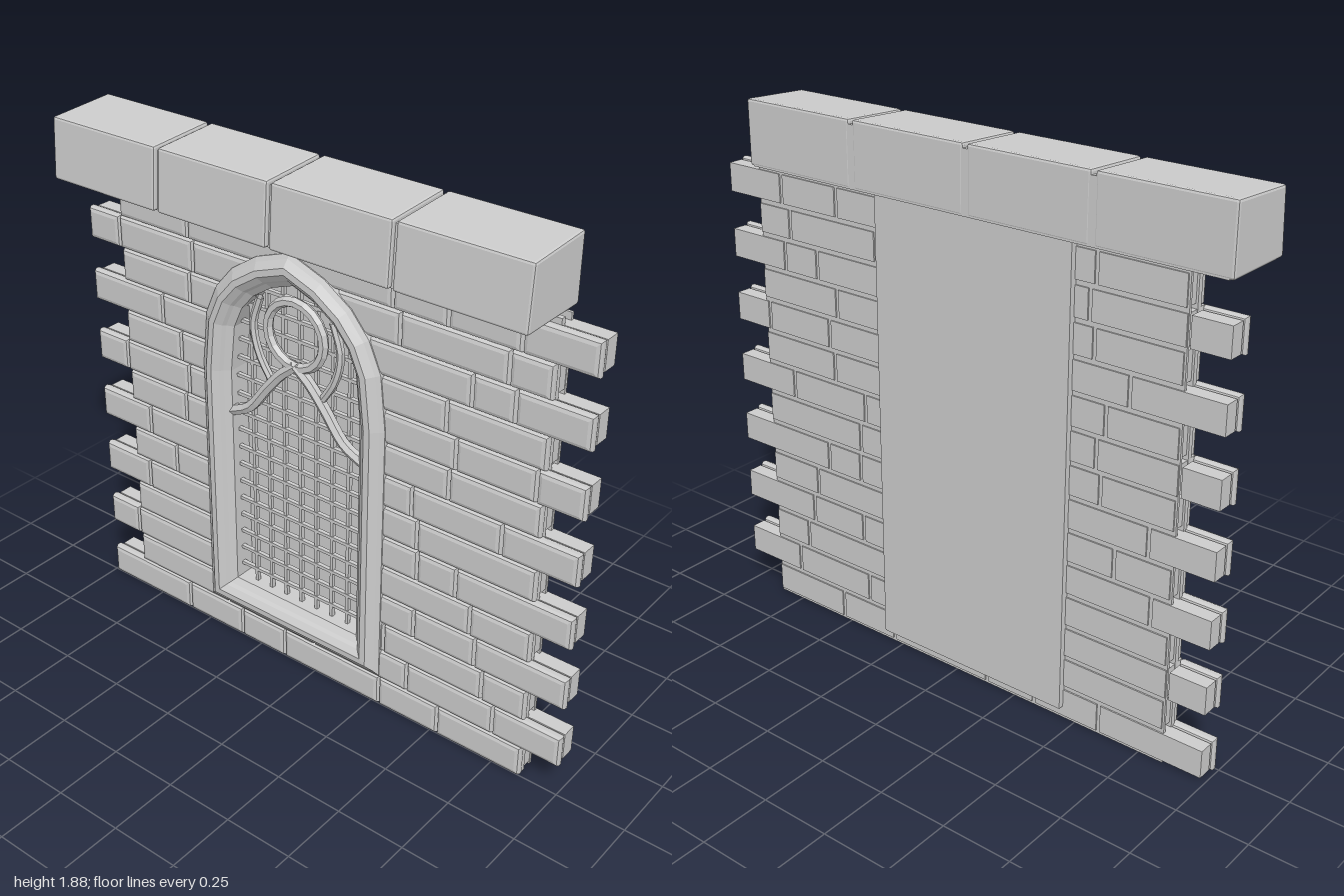
import * as THREE from 'three';
import { RoundedBoxGeometry } from 'three/addons/geometries/RoundedBoxGeometry.js';

const grey = new THREE.MeshStandardMaterial({ color: 0xcccccc, flatShading: true, side: THREE.DoubleSide });

// Local frame: X along the wall, Y up, +Z out of the window face.
const CENTRE = -0.09; // middle of the window along the wall
const HALF_ARCH = [[0.32, 0.2], [0.32, 1.1], [0.3, 1.28], [0.26, 1.37], [0.2, 1.44], [0.11, 1.5]];
const ARCH = [
  ...HALF_ARCH, [0, 1.54],
  ...HALF_ARCH.map(([u, y]) => [-u, y]).reverse(),
].map(([u, y]) => new THREE.Vector2(CENTRE + u, y));

function add(parent, name, geometry) {
  const mesh = new THREE.Mesh(geometry, grey);
  mesh.name = name;
  parent.add(mesh);
  return mesh;
}

function box(x0, x1, y0, y1, z0, z1) {
  return new THREE.BoxGeometry(x1 - x0, y1 - y0, z1 - z0)
    .translate((x0 + x1) / 2, (y0 + y1) / 2, (z0 + z1) / 2);
}

// Half width of the window opening at a height
function openingAt(y) {
  if (y < 0.23 || y > 1.54) return 0;
  const pts = [...HALF_ARCH, [0, 1.54]];
  for (let i = 1; i < pts.length; i++) {
    const [u0, y0] = pts[i - 1], [u1, y1] = pts[i];
    if (y <= y1) return u0 + (u1 - u0) * (y - y0) / (y1 - y0);
  }
  return 0;
}

// Sweep an (outward, z) profile round a closed outline with mitred corners
function sweep(path, profile) {
  const n = path.length, m = profile.length, pos = [], idx = [];
  for (let i = 0; i < n; i++) {
    const p = path[i];
    const a = p.clone().sub(path[(i + n - 1) % n]).normalize();
    const b = path[(i + 1) % n].clone().sub(p).normalize();
    const na = new THREE.Vector2(a.y, -a.x), nb = new THREE.Vector2(b.y, -b.x);
    const miter = na.clone().add(nb).divideScalar(1 + na.dot(nb));
    for (const [o, z] of profile) pos.push(p.x + miter.x * o, p.y + miter.y * o, z);
  }
  for (let i = 0; i < n; i++) {
    for (let j = 0; j < m - 1; j++) {
      const a = i * m + j, b = ((i + 1) % n) * m + j;
      idx.push(a, a + 1, b, b, a + 1, b + 1);
    }
  }
  const g = new THREE.BufferGeometry();
  g.setAttribute('position', new THREE.Float32BufferAttribute(pos, 3));
  g.setIndex(idx);
  g.computeVertexNormals();
  return g;
}

// Front brick: box with chamfered outer face
function frontBrick(x0, x1, y0, y1) {
  const inset = Math.min(0.016, (x1 - x0) / 3);
  const shape = new THREE.Shape();
  shape.moveTo(x0 + inset, y0 + inset);
  shape.lineTo(x1 - inset, y0 + inset);
  shape.lineTo(x1 - inset, y1 - inset);
  shape.lineTo(x0 + inset, y1 - inset);
  return new THREE.ExtrudeGeometry(shape, {
    depth: 0.012, bevelThickness: 0.014, bevelSize: inset, bevelSegments: 2,
  }).translate(0, 0, -0.015);
}

// Brick joints of each course, from the bottom up
const JOINTS = [
  [-0.99, -0.595, -0.335, -0.135, 0.285, 0.53, 0.86],
  [-0.84, -0.4, 0, 0.4, 0.745, 1],
  [-0.99, -0.845, -0.3, 0.3, 0.695, 0.86],
  [-0.84, -0.4, 0, 0.42, 0.66, 1],
  [-0.99, -0.77, -0.2, 0.2, 0.635, 0.86],
  [-0.84, -0.63, 0, 0.425, 0.575, 1],
  [-0.99, -0.75, 0, 0.42, 0.86],
  [-0.84, -0.57, 0, 0.395, 0.73, 1],
  [-0.99, -0.845, -0.55, 0, 0.53, 0.86],
  [-0.84, -0.58, 0, 0.55, 0.835, 1],
  [-0.99, -0.66, 0, 0.51, 0.86],
  [-0.84, -0.53, 0, 0.595, 0.745, 1],
  [-0.99, -0.845, -0.51, 0, 0.33, 0.715, 0.86],
  [-0.84, -0.53, -0.1, 0.3, 0.5, 0.75, 1],
];

function addBricks(parent) {
  JOINTS.forEach((joints, row) => {
    const y0 = 0.01 + row * 0.117, y1 = y0 + 0.108;
    const w = openingAt((y0 + y1) / 2);
    for (let i = 0; i < joints.length - 1; i++) {
      const a = joints[i], b = joints[i + 1];
      const pieces = w ? [[a, Math.min(b, CENTRE - w)], [Math.max(a, CENTRE + w), b]] : [[a, b]];
      for (const [p, q] of pieces) {
        if (q - p < 0.02) continue;
        add(parent, 'frontBrick', frontBrick(p + 0.002, q - 0.002, y0 - 0.003, y1 + 0.003));
        add(parent, 'backBrick', box(p + 0.007, q - 0.007, y0 + 0.004, y1 - 0.004, -0.085, -0.032));
      }
    }
  });
}

function addMortar(parent) {
  const shape = new THREE.Shape([[-0.84, 0.003], [0.855, 0.003], [0.855, 1.66], [-0.84, 1.66]]
    .map(([x, y]) => new THREE.Vector2(x, y)));
  shape.holes.push(new THREE.Path(ARCH));
  for (const [z, depth] of [[-0.036, 0.018], [-0.08, 0.01]]) {
    add(parent, 'mortar', new THREE.ExtrudeGeometry(shape, { depth, bevelEnabled: false }).translate(0, 0, z));
  }
}

function addWindow(parent) {
  // Moulded surround and deep inner reveal
  add(parent, 'windowFrame', sweep(ARCH, [
    [-0.05, -0.08], [-0.05, 0], [-0.03, 0.018], [-0.022, 0.03], [0, 0.047],
    [0.022, 0.046], [0.045, 0.025], [0.06, 0.015], [0.06, -0.03],
  ]));

  // Lattice bars clipped to the arch
  const lattice = new THREE.Group();
  lattice.name = 'lattice';
  parent.add(lattice);
  for (let i = -3; i <= 3; i++) {
    const u = i * 0.068;
    let top = 1.5;
    while (openingAt(top) - 0.04 < Math.abs(u)) top -= 0.01;
    add(lattice, 'verticalBar', box(CENTRE + u - 0.006, CENTRE + u + 0.006, 0.23, top, -0.045, -0.03));
  }
  for (let y = 0.3; y < 1.45; y += 0.07) {
    const w = openingAt(y) - 0.03;
    add(lattice, 'horizontalBar', box(CENTRE - w, CENTRE + w, y - 0.006, y + 0.006, -0.043, -0.028));
  }

  // Tracery: ring above a pointed ogee arch
  const ring = add(parent, 'traceryRing', new THREE.TorusGeometry(0.115, 0.018, 6, 20));
  ring.position.set(CENTRE, 1.31, -0.012);
  for (const s of [-1, 1]) {
    const curve = new THREE.CatmullRomCurve3([[0.28, 0.94], [0.2, 0.98], [0.12, 1.08], [0.06, 1.15], [0, 1.2]]
      .map(([u, y]) => new THREE.Vector3(CENTRE + s * u, y, -0.012)));
    add(parent, 'traceryArch', new THREE.TubeGeometry(curve, 12, 0.02, 6));
    const branch = new THREE.CatmullRomCurve3([[0.1, 1.1], [0.16, 1.2], [0.18, 1.3], [0.15, 1.4]]
      .map(([u, y]) => new THREE.Vector3(CENTRE + s * u, y, -0.015)));
    add(parent, 'traceryBranch', new THREE.TubeGeometry(branch, 10, 0.014, 6));
  }

  // Flat panel closing the back of the window
  add(parent, 'backPanel', box(-0.455, 0.31, 0.05, 1.66, -0.105, -0.08));
}

// Lean the front face back and drop the front top edge
function lean(geometry) {
  const p = geometry.attributes.position;
  for (let i = 0; i < p.count; i++) {
    const t = (p.getY(i) - 1.66) / 0.225;
    const f = (p.getZ(i) + 0.13) / 0.268;
    p.setZ(i, p.getZ(i) - 0.015 * t * f);
    p.setY(i, p.getY(i) - 0.014 * t * f);
  }
  geometry.computeVertexNormals();
  return geometry;
}

function addCoping(parent) {
  const edges = [-1, -0.538, -0.078, 0.382, 0.842];
  for (let i = 0; i < 4; i++) {
    const a = edges[i] + (i ? 0.007 : 0), b = edges[i + 1] - (i < 3 ? 0.007 : 0);
    const block = new RoundedBoxGeometry(b - a, 0.225, 0.268, 1, 0.009)
      .translate((a + b) / 2, 1.7725, 0.004);
    add(parent, 'copingBlock', lean(block));
  }
  add(parent, 'copingCore', lean(box(-0.985, 0.827, 1.66, 1.868, -0.129, 0.12)));
}

export function createModel() {
  const model = new THREE.Group();
  model.name = 'windowWall';
  const wall = new THREE.Group();
  wall.name = 'wall';
  wall.rotation.y = -Math.PI / 2; // window faces -x
  model.add(wall);
  addBricks(wall);
  addMortar(wall);
  addWindow(wall);
  addCoping(wall);
  return model;
}
